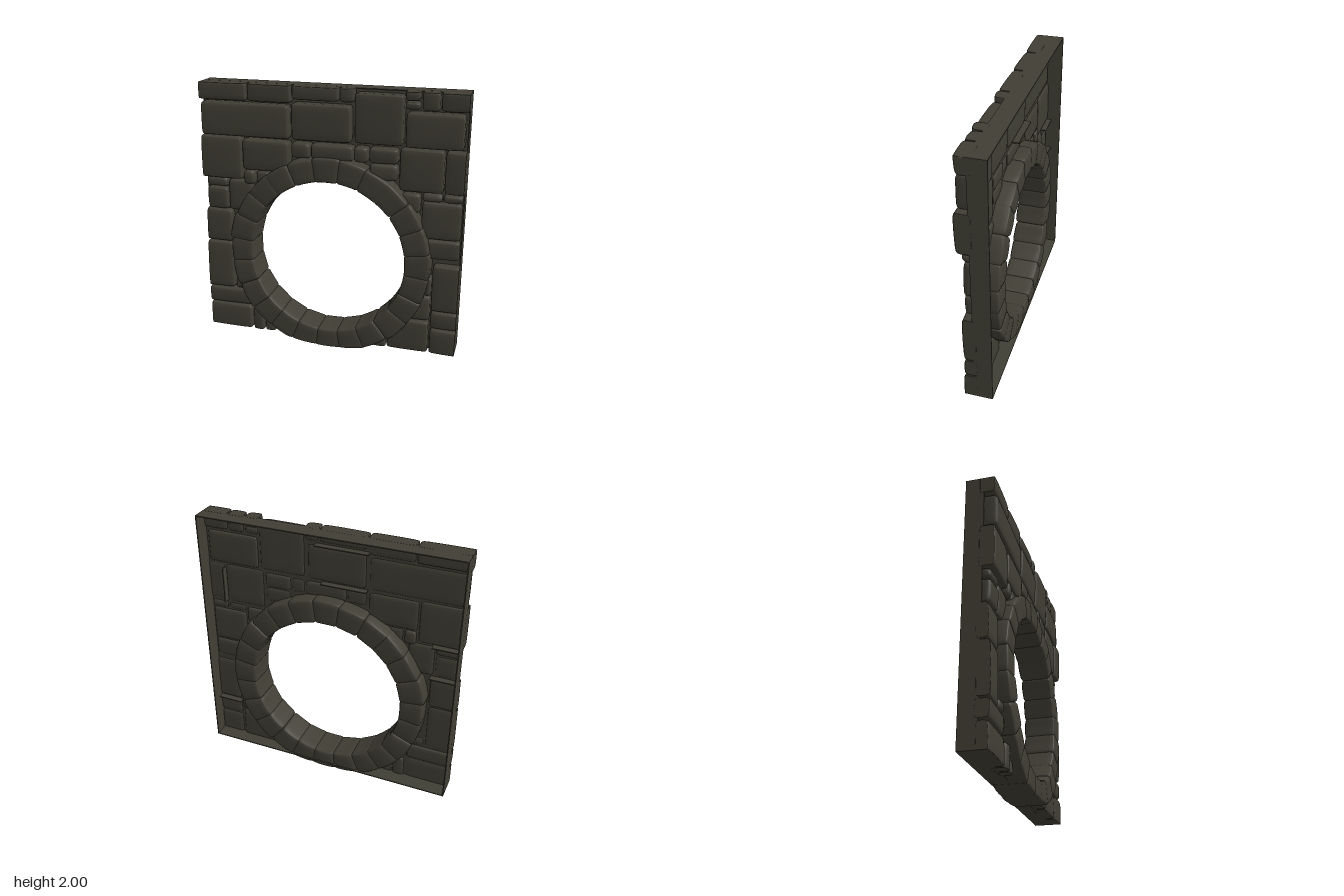
import * as THREE from 'three';
import { mergeVertices } from 'three/addons/utils/BufferGeometryUtils.js';

const stone = new THREE.MeshStandardMaterial({ color: 0x403e34, side: THREE.DoubleSide });
stone.name = 'dark stone';

const CX = -0.005, CY = 0.735;          // centre of the round opening
const X0 = -0.987, X1 = 0.977, Y0 = 0.04, Y1 = 2;

let seed = 7;
const rand = () => (seed = (seed * 16807) % 2147483647) / 2147483647;
const jitter = (a) => (rand() - 0.5) * 2 * a;

// Soft-edged block centred on the origin; bend(p, u, v) moves each vertex
function softBlock(w, h, d, radius, bend) {
  const geo = new THREE.BoxGeometry(2, 2, 2, 8, 8, 6);
  const pos = geo.attributes.position;
  const r = Math.min(radius, w * 0.4, h * 0.4, d * 0.4);
  const half = new THREE.Vector3(w / 2, h / 2, d / 2);
  const inner = half.clone().subScalar(r);
  const outer = inner.clone().negate();
  const spread = (t) => Math.sign(t) * (1 - (1 - Math.abs(t)) ** 2);
  const p = new THREE.Vector3(), q = new THREE.Vector3();
  for (let i = 0; i < pos.count; i++) {
    p.fromBufferAttribute(pos, i);
    p.set(spread(p.x), spread(p.y), spread(p.z));
    const u = p.x, v = p.y;
    p.multiply(half);
    q.copy(p).clamp(outer, inner);
    p.sub(q).setLength(r).add(q);
    bend(p, u, v);
    pos.setXYZ(i, p.x, p.y, p.z);
  }
  geo.deleteAttribute('normal');
  geo.deleteAttribute('uv');
  const merged = mergeVertices(geo, 1e-5);
  merged.computeVertexNormals();
  return merged;
}

function add(parent, name, geo, x = 0, y = 0, z = 0) {
  const mesh = new THREE.Mesh(geo, stone);
  mesh.name = name;
  mesh.position.set(x, y, z);
  parent.add(mesh);
}

// Rows above the ring: bottom, top, then the joints from left to right
const rows = [
  [1.87, 2, -0.99, -0.62, -0.28],
  [1.9, 2, -0.28, 0.075, 0.19],
  [1.935, 2, 0.54, 0.65],
  [1.875, 1.935, 0.54, 0.65],
  [1.87, 2, 0.655, 0.785, 0.98],
  [1.61, 1.865, -0.98, -0.295],
  [1.61, 1.885, -0.28, 0.165],
  [1.615, 1.98, 0.185, 0.54],
  [1.61, 1.865, 0.55, 0.96],
  [1.28, 1.61, -0.99, -0.665],
  [1.36, 1.6, -0.665, -0.295],
  [1.48, 1.6, -0.285, -0.135, 0.185, 0.295, 0.51],
  [1.295, 1.61, 0.515, 0.835, 0.98],
  [1.36, 1.485, 0.3, 0.51],
  [1.25, 1.365, -0.66, -0.565, -0.45],
  [1.225, 1.29, 0.68, 0.83, 0.975],
];

// Stacks beside the ring: left, right, then the joints going up
const stacks = [
  [-0.99, -0.64, 0.04, 0.23, 0.37],
  [-0.99, -0.777, 0.37, 0.76, 1.025],
  [-0.98, -0.8, 1.025, 1.205, 1.285],
  [-0.8, -0.6, 1.025, 1.275],
  [-0.775, -0.655, 0.37, 0.455],
  [-0.635, -0.535, 0.04, 0.215],
  [-0.535, -0.44, 0.04, 0.14],
  [0.78, 0.98, 0.04, 0.235, 0.38, 0.755],
  [0.68, 0.972, 0.79, 0.945, 1.225],
  [0.33, 0.455, 0.04, 0.15],
  [0.455, 0.775, 0.04, 0.29],
  [0.6, 0.78, 0.295, 0.5],
  [0.715, 0.785, 0.5, 0.66],
  [0.53, 0.675, 1.13, 1.28],
];

// How far the faces stand out changes with height
const faceDepth = (y) => (y > 1.87 ? 0.077 : y > 1.29 ? 0.09 : y > 0.76 ? 0.058 : 0.072);

function addBlock(group, x0, x1, y0, y1) {
  const gap = 0.008, cut = 0.03;
  // blocks on the border run past it and are trimmed flush with the frame
  if (x0 < X0) x0 -= cut;
  if (x1 > X1) x1 += cut;
  if (y0 <= Y0) y0 -= cut;
  if (y1 >= Y1) y1 += cut;
  const w = x1 - x0 - gap, h = y1 - y0 - gap, x = (x0 + x1) / 2, y = (y0 + y1) / 2;
  const back = -0.026 + jitter(0.008);
  const d = faceDepth(y) + jitter(0.005) - back;
  const tiltX = jitter(0.005), tiltY = jitter(0.005), skew = jitter(0.005);
  const geo = softBlock(w, h, d, 0.026, (p, u, v) => {
    if (p.z > 0) p.z += tiltX * u + tiltY * v - 0.004 * (u * u + v * v);
    p.x += skew * v * (1 - Math.abs(u));
    p.x = THREE.MathUtils.clamp(p.x, X0 - x, X1 - x);
    p.y = THREE.MathUtils.clamp(p.y, Y0 - y, Y1 - y);
  });
  add(group, 'wallBlock', geo, x, y, back + d / 2);
}

function buildBlocks() {
  const group = new THREE.Group();
  group.name = 'wallBlocks';
  for (const [y0, y1, ...xs] of rows)
    for (let i = 1; i < xs.length; i++) addBlock(group, xs[i - 1], xs[i], y0, y1);
  for (const [x0, x1, ...ys] of stacks)
    for (let i = 1; i < ys.length; i++) addBlock(group, x0, x1, ys[i - 1], ys[i]);
  return group;
}

// Ring of tightly set wedge stones running right through the wall
function buildRing() {
  const group = new THREE.Group();
  group.name = 'archRing';
  const count = 24, rIn = 0.587, rOut = 0.77, rMid = (rIn + rOut) / 2;
  const step = (Math.PI * 2) / count;
  for (let i = 0; i < count; i++) {
    const mid = i * step + Math.PI / 2 + 0.013 + jitter(0.015);
    const grow = jitter(0.008), push = jitter(0.004), tilt = jitter(0.005);
    const geo = softBlock(step * rMid + 0.02, rOut - rIn, 0.236, 0.026, (p, u, v) => {
      const angle = mid + p.x / rMid;
      const r = rMid + p.y + (grow + tilt * u) * Math.max(v, 0);
      // front faces lean slightly forward towards the ground
      if (p.z > 0) p.z += push + tilt * u + 0.004 * (1 - u * u) - 0.007 * Math.sin(angle);
      else p.z -= 0.008 * (1 - u * u);
      p.x = CX + Math.cos(angle) * r;
      p.y = CY + Math.sin(angle) * r;
      // flattened where the ring rests on the ground
      if (p.y < 0.035) p.y = Math.max(0, 0.035 + (p.y - 0.035) * 0.45);
    });
    add(group, 'ringStone', geo);
  }
  return group;
}

// Thin boards around the hollow back, and the mortar sheet with its round hole
function buildFrame() {
  const group = new THREE.Group();
  group.name = 'frame';
  const t = 0.008, depth = 0.133, z = -depth / 2;
  const w = X1 - X0, h = Y1 - Y0, mx = (X0 + X1) / 2, my = (Y0 + Y1) / 2;
  for (const s of [-1, 1]) {
    add(group, 'sideBoard', new THREE.BoxGeometry(t, h, depth), mx + s * (w - t) / 2, my, z);
    add(group, 'crossBoard', new THREE.BoxGeometry(w, t, depth), mx, my + s * (h - t) / 2, z);
  }
  const sheet = new THREE.Shape();
  sheet.moveTo(X0, Y0).lineTo(X1, Y0).lineTo(X1, Y1).lineTo(X0, Y1).closePath();
  const hole = new THREE.Path();
  hole.absarc(CX, CY, 0.67, 0, Math.PI * 2, true);
  sheet.holes.push(hole);
  add(group, 'mortarSheet', new THREE.ShapeGeometry(sheet, 40), 0, 0, -0.012);

  // Thin ledges left standing on the hollow side: centre x, y, width, height
  const ledges = [
    [-0.1, 1.89, 0.4, t], [-0.12, 1.605, 0.34, t], [0.835, 1.44, t, 0.28],
    [-0.88, 1.28, 0.2, t], [-0.88, 1.022, 0.2, t], [0.87, 0.38, 0.2, t],
  ];
  for (const [x, y, lw, lh] of ledges)
    add(group, 'backLedge', new THREE.BoxGeometry(lw, lh, 0.05), x, y, -0.037);
  return group;
}

export function createModel() {
  const model = new THREE.Group();
  model.name = 'stoneWallWithRoundOpening';
  model.add(buildFrame(), buildBlocks(), buildRing());
  return model;
}
